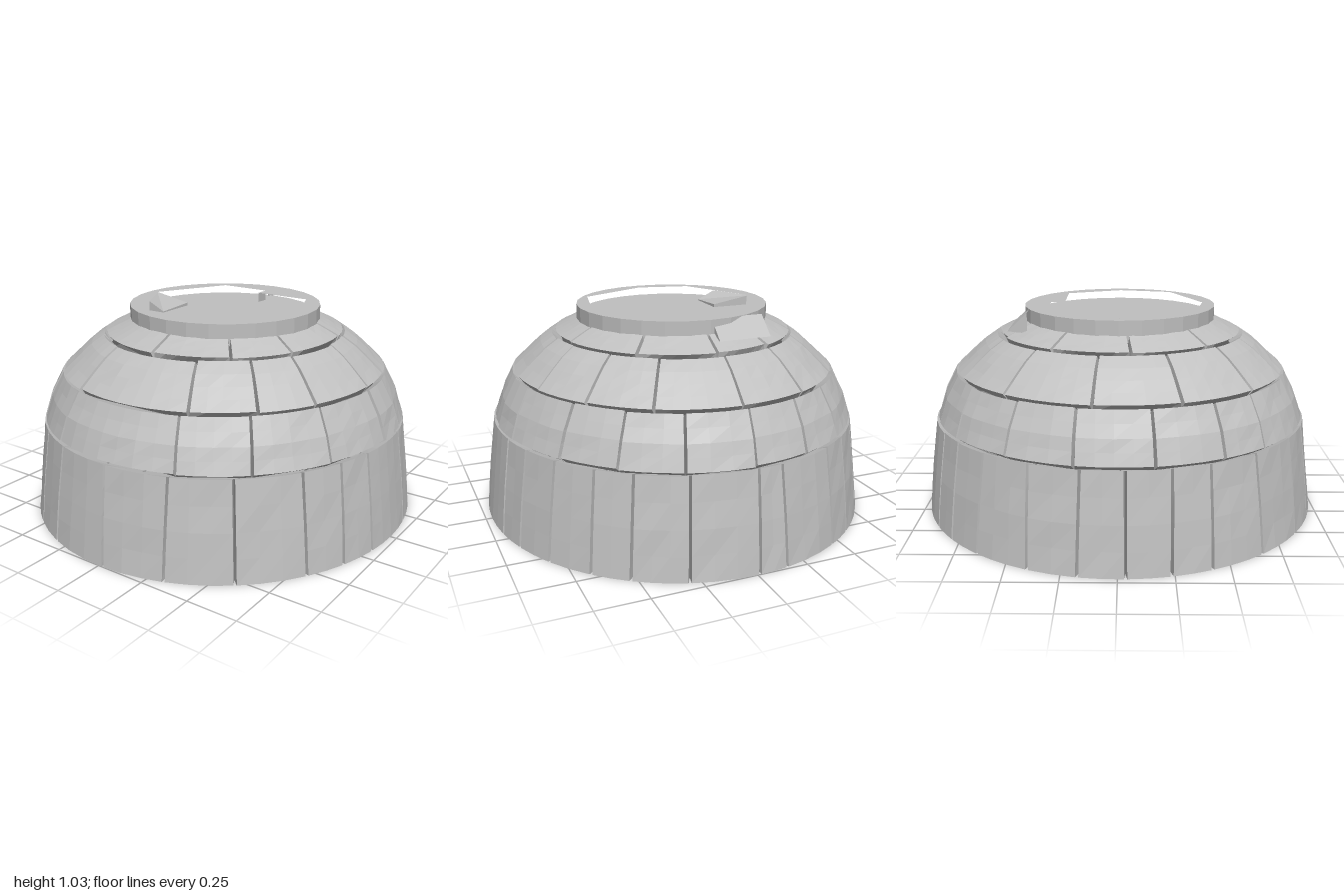
import * as THREE from 'three';

const stone = new THREE.MeshStandardMaterial({ color: 0xc0c0c0, flatShading: true });
stone.name = 'palestone';

// Dome profile: radius, height
const PROFILE = [[1, 0], [0.98, 0.2], [0.94, 0.48], [0.9, 0.6], [0.835, 0.72], [0.7, 0.845], [0.6, 0.91], [0.46, 0.975]];
const INNER = 0.95;
const X_SCALE = 0.97;

let seed = 7;
const rand = () => (seed = (seed * 16807) % 2147483647) / 2147483647;
const spread = (s) => (rand() - 0.5) * s;

function radiusAt(y) {
  for (let i = 1; i < PROFILE.length; i++) {
    const [r0, y0] = PROFILE[i - 1], [r1, y1] = PROFILE[i];
    if (y <= y1) return r0 + (r1 - r0) * (y - y0) / (y1 - y0);
  }
  return PROFILE[PROFILE.length - 1][0];
}

function onDome(deg, y, shrink = 1, inset = 0) {
  const a = THREE.MathUtils.degToRad(deg), r = (radiusAt(y) - inset) * shrink;
  return new THREE.Vector3(Math.sin(a) * r * X_SCALE, y * shrink, Math.cos(a) * r);
}

function facets(quads) {
  const pos = [];
  for (const [a, b, c, d] of quads)
    for (const p of [a, b, c, a, c, d]) pos.push(p.x, p.y, p.z);
  const geo = new THREE.BufferGeometry();
  geo.setAttribute('position', new THREE.Float32BufferAttribute(pos, 3));
  geo.computeVertexNormals();
  return geo;
}

// One curved block: rounded outside, flat inside, narrowed outside to leave a V joint
function blockGeometry(a0, a1, y0, y1, slant0, slant1) {
  const nu = Math.max(2, Math.round((a1 - a0) / 6)), nv = 4;
  const gap = 0.4 / radiusAt((y0 + y1) / 2);
  const inset = y0 === 0 ? 0 : rand() * 0.008;
  const low = y0 === 0 ? 0 : y0 + 0.004 + rand() * 0.004;
  const high = y1 - 0.003 - rand() * 0.005;
  const corners = [onDome(a0, y0, INNER), onDome(a1, y0, INNER), onDome(a0, y1, INNER), onDome(a1, y1, INNER)];
  const outer = [], inner = [];
  for (let i = 0; i <= nu; i++) {
    outer.push([]);
    inner.push([]);
    for (let j = 0; j <= nv; j++) {
      const u = i / nu, v = j / nv;
      const from = a0 + gap + slant0 * (v - 0.5), to = a1 - gap + slant1 * (v - 0.5);
      const rough = i % nu && j % nv ? rand() * 0.006 : 0;
      outer[i].push(onDome(from + (to - from) * u, low + (high - low) * v, 1, inset + rough));
      const b = corners[0].clone().lerp(corners[1], u), t = corners[2].clone().lerp(corners[3], u);
      inner[i].push(b.lerp(t, v));
    }
  }
  const quads = [];
  for (let i = 0; i < nu; i++) {
    for (let j = 0; j < nv; j++) {
      quads.push([outer[i][j], outer[i + 1][j], outer[i + 1][j + 1], outer[i][j + 1]]);
      quads.push([inner[i][j], inner[i][j + 1], inner[i + 1][j + 1], inner[i + 1][j]]);
    }
    quads.push([inner[i][0], inner[i + 1][0], outer[i + 1][0], outer[i][0]]);
    quads.push([outer[i][nv], outer[i + 1][nv], inner[i + 1][nv], inner[i][nv]]);
  }
  for (let j = 0; j < nv; j++) {
    quads.push([inner[0][j], outer[0][j], outer[0][j + 1], inner[0][j + 1]]);
    quads.push([outer[nu][j], inner[nu][j], inner[nu][j + 1], outer[nu][j + 1]]);
  }
  return facets(quads);
}

// Courses from the ground up: heights and joint angles in degrees, from the front towards the left
const COURSES = [
  { name: 'baseCourse', y: [0, 0.48], joints: [1, 20, 38, 57, 69, 80, 101, 111, 123, 136, 147, 162, 181, 189, 208, 218, 230, 246, 260, 272, 284, 295, 311, 328, 341] },
  { name: 'secondCourse', y: [0.48, 0.72], joints: [22, 43, 66, 90, 103, 125, 143, 161, 181, 199, 216, 238, 258, 280, 300, 315, 339] },
  { name: 'thirdCourse', y: [0.72, 0.9], joints: [24, 46, 65, 91, 108, 130, 152, 180, 205, 232, 262, 290, 317, 340] },
  { name: 'crownCourse', y: [0.9, 0.975], joints: [2, 38, 66, 104, 142, 178, 206, 240, 275, 312] },
];

function addMesh(parent, name, geo) {
  const mesh = new THREE.Mesh(geo, stone);
  mesh.name = name;
  parent.add(mesh);
  return mesh;
}

// Flat plate in plan (x, z points), standing from y0 to y1
function plate(points, hole, y0, y1) {
  const plan = (list) => list.map(([x, z]) => new THREE.Vector2(x, -z));
  const shape = new THREE.Shape(plan(points));
  if (hole) shape.holes.push(new THREE.Path(plan(hole)));
  const geo = new THREE.ExtrudeGeometry(shape, { depth: y1 - y0, bevelEnabled: false });
  return geo.rotateX(-Math.PI / 2).translate(0, y0, 0);
}

export function createModel() {
  const model = new THREE.Group();
  model.name = 'stoneDome';

  for (const { name, y, joints } of COURSES) {
    const course = new THREE.Group();
    course.name = name;
    const slants = joints.map(() => spread(1.6));
    joints.forEach((a, i) => {
      const n = (i + 1) % joints.length;
      const end = n ? joints[n] : joints[0] + 360;
      addMesh(course, 'block', blockGeometry(a, end, y[0], y[1], slants[i], slants[n]));
    });
    model.add(course);
  }

  // Raised rim with an irregular recess
  const circle = (r, n) => Array.from({ length: n }, (_, i) => {
    const a = i / n * Math.PI * 2;
    return [Math.cos(a) * r, Math.sin(a) * r];
  });
  const recess = [[-0.43, 0], [-0.24, -0.35], [0.02, -0.35], [0.02, -0.28], [0.31, -0.28], [0.42, 0],
    [0.36, 0.27], [0.02, 0.42], [-0.24, 0.36]];
  addMesh(model, 'topRim', plate(circle(0.478, 28), recess, 0.94, 1.03));
  addMesh(model, 'recessFloor', plate(circle(0.47, 28), null, 0.925, 0.98));

  // Broken stone sloping from the rim into the recess
  const v = (x, y, z) => new THREE.Vector3(x, y, z);
  const a = v(-0.44, 1.028, 0), b = v(-0.24, 0.995, 0), c = v(-0.24, 0.985, 0.2), d = v(-0.33, 1.028, 0.2);
  const drop = (p) => v(p.x, 0.97, p.z);
  const sides = [[a, b], [b, c], [c, d], [d, a]].map(([p, q]) => [p, q, drop(q), drop(p)]);
  addMesh(model, 'slopedStone', facets([[a, d, c, b], ...sides]));

  // Stone leaning against the back of the rim
  const lean = [-0.02, -0.28].map((x) => [v(x, 1.028, -0.44), v(x, 0.94, -0.535), v(x, 0.93, -0.44)]);
  const [p, q] = lean;
  addMesh(model, 'leaningStone', facets([
    [p[0], p[1], q[1], q[0]], [p[0], p[2], p[1], p[1]], [q[0], q[1], q[2], q[2]], [p[1], p[2], q[2], q[1]],
  ]));
  return model;
}
